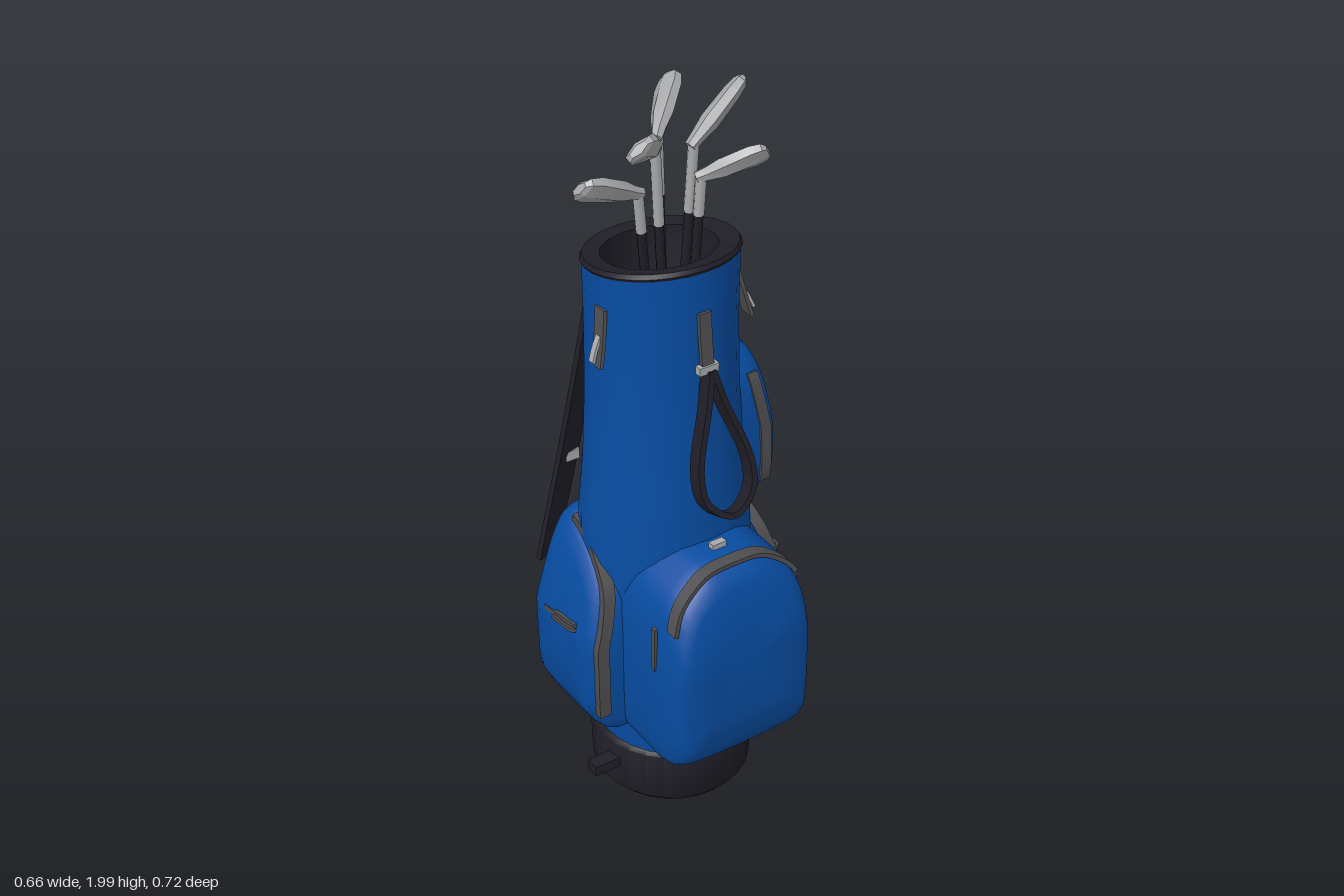
import * as THREE from 'three';
import { toCreasedNormals } from 'three/addons/utils/BufferGeometryUtils.js';

const V = (x, y, z) => new THREE.Vector3(x, y, z);
const material = (name, color) => Object.assign(new THREE.MeshStandardMaterial({ color }), { name });

export function createModel() {
  const blue = material('blue fabric', 0x074ca1);
  const dark = material('dark trim', 0x201e27);
  const grey = material('grey zip', 0x4e4e50);
  const silver = material('silver metal', 0xaaabad);
  const root = new THREE.Group();
  root.name = 'golfBag';

  const add = (name, geo, mat, parent = root) => {
    const m = new THREE.Mesh(geo, mat);
    m.name = name;
    parent.add(m);
    return m;
  };

  // Skin over rings of points, each running counter-clockwise about the sweep direction
  function loft(rings, crease = 0.7, capStart = true, capEnd = true) {
    const n = rings[0].length, pos = [], idx = [];
    rings.flat().forEach(p => pos.push(p.x, p.y, p.z));
    for (let k = 0; k < rings.length - 1; k++)
      for (let i = 0; i < n; i++) {
        const a = k * n + i, b = k * n + (i + 1) % n;
        idx.push(a, b, b + n, a, b + n, a + n);
      }
    const cap = (k, flip) => {
      const c = rings[k].reduce((s, p) => s.add(p), V(0, 0, 0)).divideScalar(n);
      const ci = pos.length / 3;
      pos.push(c.x, c.y, c.z);
      for (let i = 0; i < n; i++) {
        const a = k * n + i, b = k * n + (i + 1) % n;
        flip ? idx.push(b, a, ci) : idx.push(a, b, ci);
      }
    };
    if (capStart) cap(0, true);
    if (capEnd) cap(rings.length - 1, false);
    const g = new THREE.BufferGeometry();
    g.setAttribute('position', new THREE.Float32BufferAttribute(pos, 3));
    g.setIndex(idx);
    return toCreasedNormals(g, crease);
  }

  // Horizontal ellipse, optionally slanted up toward the front
  const ring = (y, cx, cz, rx, rz, slant = 0) => Array.from({ length: 28 }, (_, i) => {
    const a = i / 28 * Math.PI * 2, z = -Math.sin(a) * rz;
    return V(cx + Math.cos(a) * rx, y + slant * z, cz + z);
  });

  // Flat band along a path; w is half its width as a vector, t half its thickness
  function ribbon(points, w, t, steps = 12) {
    const curve = new THREE.CatmullRomCurve3(points);
    const rings = [];
    for (let i = 0; i <= steps; i++) {
      const c = curve.getPoint(i / steps);
      const n = curve.getTangent(i / steps).cross(w).normalize().multiplyScalar(t);
      rings.push([[1, 1], [-1, 1], [-1, -1], [1, -1]].map(([a, b]) =>
        c.clone().addScaledVector(w, a).addScaledVector(n, b)));
    }
    return loft(rings, 0.5);
  }

  // Base and main tube
  add('base', loft([
    ring(0, -0.01, -0.004, 0.195, 0.2), ring(0.02, -0.01, -0.004, 0.213, 0.216),
    ring(0.165, -0.01, -0.004, 0.217, 0.22), ring(0.18, -0.01, -0.004, 0.205, 0.208)]), dark);
  add('baseStub', new THREE.BoxGeometry(0.08, 0.03, 0.04).translate(-0.25, 0.105, 0.04), dark);
  add('body', loft([
    ring(0.17, -0.01, 0, 0.205, 0.21), ring(0.25, -0.01, 0, 0.212, 0.216),
    ring(0.6, -0.015, -0.02, 0.235, 0.213), ring(0.85, -0.012, -0.03, 0.226, 0.206),
    ring(1.0, -0.01, -0.036, 0.208, 0.2), ring(1.2, -0.01, -0.042, 0.194, 0.195),
    ring(1.4, -0.01, -0.046, 0.19, 0.193), ring(1.572, -0.01, -0.046, 0.192, 0.195, 0.2)],
    0.9, true, false), blue);
  // Rim folding over into the dark lining
  add('rimAndLining', loft([
    ring(1.568, -0.01, -0.046, 0.192, 0.195, 0.2), ring(1.576, -0.01, -0.046, 0.197, 0.199, 0.2),
    ring(1.588, -0.01, -0.046, 0.191, 0.193, 0.2), ring(1.58, -0.012, -0.05, 0.143, 0.147, 0.2),
    ring(1.34, -0.015, -0.046, 0.14, 0.145), ring(1.28, -0.022, -0.044, 0.115, 0.13),
    ring(1.0, -0.022, -0.04, 0.115, 0.13)], 0.7, false, true), dark);

  // Pocket: closed outline in (u, y), swelling outward along local +z in layers [scale, depth]
  function pocket(name, outline, layers, slope, turn) {
    const curve = new THREE.CatmullRomCurve3(outline.map(([u, y]) => V(u, y, 0)), true, 'catmullrom', 0.4);
    const pts = curve.getPoints(40).slice(0, 40);
    const c = new THREE.Box3().setFromPoints(pts).getCenter(V(0, 0, 0));
    const place = (p, s, d) => {
      const q = c.clone().lerp(p, s);
      return q.setZ(d - slope(q.y));
    };
    const g = new THREE.Group();
    g.name = name;
    g.rotation.y = turn;
    root.add(g);
    add(name + 'Shell', loft(layers.map(([s, d]) => pts.map(p => place(p, s, d))), 0.7, false), blue, g);
    // Returns a helper for a zip running along part of the outline
    return (from, to, s, d, half, t) => add(name + 'Zip', ribbon(
      Array.from({ length: 15 }, (_, i) => place(curve.getPoint(from + (to - from) * i / 14), s, d)),
      V(0, 0, half), t, 28), grey, g);
  }
  const over = (y, y0, k) => Math.max(0, y - y0) * k;

  // Front pocket
  const frontZip = pocket('frontPocket',
    [[-0.18, 0.25], [-0.01, 0.24], [0.16, 0.25], [0.2, 0.31], [0.2, 0.62], [0.165, 0.76], [0.08, 0.83],
      [-0.01, 0.84], [-0.1, 0.83], [-0.185, 0.76], [-0.222, 0.62], [-0.222, 0.31]],
    [[1, 0.08], [1, 0.27], [0.985, 0.3], [0.96, 0.325], [0.9, 0.345], [0.8, 0.356], [0.45, 0.358]],
    y => over(y, 0.62, 0.22) + over(-y, -0.34, 0.25), 0);
  frontZip(0.41, 0.79, 0.985, 0.318, 0.018, 0.006);
  add('frontPull', new THREE.BoxGeometry(0.04, 0.018, 0.02).translate(-0.01, 0.846, 0.21), silver);
  [0.202, -0.224].forEach(x =>
    add('frontPocketSideZip', new THREE.BoxGeometry(0.01, 0.13, 0.016).translate(x, 0.63, 0.247), grey));

  // Side pockets; outlines are for the left side, mirrored for the right
  const flip = o => o.map(([u, y]) => [-u, y]).reverse();
  const low = [[-0.1, 0.3], [-0.06, 0.25], [0.16, 0.24], [0.2, 0.3], [0.21, 0.55], [0.2, 0.78],
    [0.14, 0.83], [0.03, 0.79], [-0.065, 0.71], [-0.1, 0.57]];
  for (const s of [1, -1]) {
    const off = s > 0 ? 0 : 0.018;
    const zip = pocket(s > 0 ? 'leftPocket' : 'rightPocket', s > 0 ? low : flip(low),
      [[1, 0.1], [1, 0.245 + off], [0.96, 0.272 + off], [0.86, 0.292 + off], [0.7, 0.3 + off], [0.3, 0.302 + off]],
      y => over(y, 0.55, 0.28) + over(-y, -0.34, 0.35), s * Math.PI / 2);
    const [from, to] = s > 0 ? [0.61, 0.99] : [-0.09, 0.29];
    zip(from, to, 0.93, 0.268 + off, 0.017, 0.016);
    // Small slot and dangling pull
    add('slotZip', new THREE.BoxGeometry(0.012, 0.016, 0.15).rotateX(-0.2)
      .translate(s * (0.294 + off), 0.567, -0.06), grey);
    add('pocketPull', ribbon([V(s * (0.295 + off), 0.575, 0.015), V(s * 0.322, 0.575, 0.01), V(s * 0.325, 0.56, -0.08)],
      V(0, 0.006, 0), 0.004), grey);
  }

  // Tall upper pocket on the left side
  const upperZip = pocket('upperPocket',
    [[-0.08, 0.87], [0.1, 0.86], [0.14, 0.9], [0.15, 1.1], [0.13, 1.23], [0.06, 1.28], [-0.02, 1.27],
      [-0.07, 1.2], [-0.09, 1.05]],
    [[1, 0.145], [1, 0.205], [0.95, 0.232], [0.85, 0.25], [0.6, 0.256]],
    y => over(y, 1.05, 0.18), Math.PI / 2);
  upperZip(0.76, 0.985, 0.97, 0.214, 0.015, 0.01);
  add('tag', new THREE.BoxGeometry(0.03, 0.055, 0.08).rotateX(-0.1).translate(0.238, 0.877, -0.005), grey);

  // Webbing tabs near the top, with clips
  add('frontTab', ribbon([V(-0.015, 1.5, 0.15), V(-0.015, 1.43, 0.155), V(-0.015, 1.35, 0.165)],
    V(0.017, 0, 0), 0.006), grey);
  add('frontBuckle', new THREE.BoxGeometry(0.055, 0.022, 0.02).translate(-0.015, 1.35, 0.165), silver);
  for (const s of [1, -1]) {
    const x = d => s * d - 0.01;
    add('sideTab', ribbon([V(x(0.19), 1.49, -0.015), V(x(0.204), 1.42, 0), V(x(0.22), 1.35, 0.012)],
      V(0, 0, 0.02), 0.005), grey);
    add('sideClip', ribbon([V(x(0.206), 1.425, 0), V(x(0.222), 1.395, 0.005), V(x(0.234), 1.365, 0.01)],
      V(0, 0, 0.009), 0.004), silver);
  }

  // Hanging carry loop
  add('carryLoop', ribbon([V(-0.012, 1.34, 0.165), V(-0.035, 1.25, 0.185), V(-0.083, 1.1, 0.225),
    V(-0.075, 1.02, 0.25), V(-0.01, 0.975, 0.268), V(0.055, 1.02, 0.25), V(0.063, 1.1, 0.225),
    V(0.015, 1.25, 0.185), V(-0.008, 1.34, 0.165)], V(0, 0.008, 0.02), 0.008, 36), dark);

  // Shoulder straps at the back, with small buckles
  add('innerStrap', ribbon([V(-0.06, 1.48, -0.238), V(-0.07, 1.36, -0.252), V(-0.12, 0.95, -0.3),
    V(-0.18, 0.53, -0.35)], V(0.033, 0, -0.008), 0.008), dark);
  add('outerStrap', ribbon([V(0.1, 1.46, -0.21), V(0.11, 1.36, -0.228), V(0.15, 0.95, -0.262),
    V(0.19, 0.53, -0.298)], V(0.031, 0, 0.014), 0.008), dark);
  add('strapAnchor', new THREE.BoxGeometry(0.05, 0.07, 0.02).translate(-0.06, 1.45, -0.245), dark);
  add('strapAnchor', new THREE.BoxGeometry(0.05, 0.07, 0.02).rotateY(-0.5).translate(0.1, 1.44, -0.222), dark);
  add('strapBuckle', new THREE.BoxGeometry(0.04, 0.03, 0.022).translate(-0.12, 0.86, -0.311), silver);
  add('strapBuckle', new THREE.BoxGeometry(0.04, 0.03, 0.022).rotateY(-0.4).translate(0.159, 0.87, -0.269), silver);

  // Clubs: grip end, neck and toe of the head
  const rod = (a, b, r) => new THREE.TubeGeometry(new THREE.LineCurve3(a, b), 1, r, 8);
  const blade = [[-0.08, 0.015, 0.015], [0.1, 0.02, 0.018], [0.35, 0.036, 0.024], [0.85, 0.05, 0.022],
    [1.03, 0.043, 0.018], [1.1, 0.026, 0.011]];
  [
    [V(-0.01, 1.01, -0.05), V(-0.1, 1.775, -0.005), V(-0.25, 1.835, 0.005)],
    [V(0.0, 1.01, -0.02), V(-0.045, 1.87, -0.015), V(-0.14, 1.935, 0.07)],
    [V(0.03, 1.01, -0.05), V(0.07, 1.85, -0.025), V(0.21, 1.955, -0.045)],
    [V(0.04, 1.01, -0.02), V(0.075, 1.77, 0.0), V(0.2, 1.825, 0.07)],
    [V(0.03, 1.01, -0.08), V(0.05, 1.82, -0.15), V(0.15, 1.895, -0.25)],
  ].forEach(([grip, neck, toe]) => {
    const club = new THREE.Group();
    club.name = 'club';
    root.add(club);
    const mid = grip.clone().lerp(neck, (1.665 - grip.y) / (neck.y - grip.y));
    add('grip', rod(grip, mid, 0.012), dark, club);
    add('shaft', rod(mid, neck, 0.014), silver, club);
    // The blade leans so that its face looks up and back
    const e = toe.clone().sub(neck).normalize();
    const side = e.clone().cross(V(0, 1, 0)).normalize();
    const w = side.clone().cross(e).multiplyScalar(0.75).addScaledVector(side, e.x > 0 ? 0.66 : -0.66).normalize();
    const n = e.clone().cross(w);
    const rings = blade.map(([s, a, b]) => Array.from({ length: 6 }, (_, i) => {
      const t = (i + 0.5) / 6 * Math.PI * 2;
      return neck.clone().lerp(toe, s).addScaledVector(w, a * Math.cos(t)).addScaledVector(n, b * Math.sin(t));
    }));
    add('head', loft(rings, 0.4), silver, club);
  });
  return root;
}
